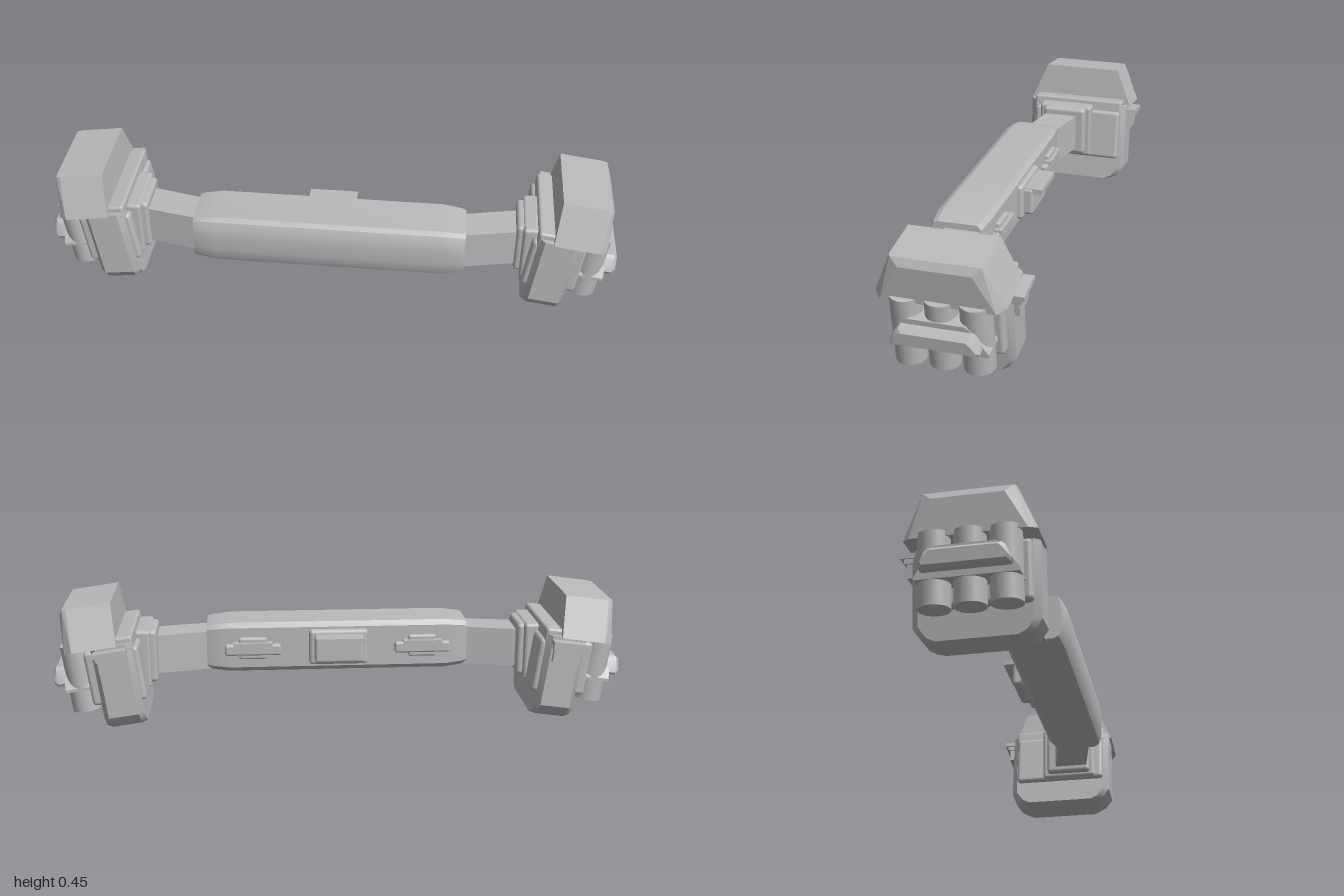
import * as THREE from 'three';
import { toCreasedNormals } from 'three/addons/utils/BufferGeometryUtils.js';
import { RoundedBoxGeometry } from 'three/addons/geometries/RoundedBoxGeometry.js';
import { ConvexGeometry } from 'three/addons/geometries/ConvexGeometry.js';

const grey = new THREE.MeshStandardMaterial({ color: 0xbababa });
grey.name = 'plain grey';

function add(parent, name, geometry, x = 0, y = 0, z = 0) {
  const mesh = new THREE.Mesh(geometry, grey);
  mesh.name = name;
  mesh.position.set(x, y, z);
  parent.add(mesh);
  return mesh;
}

// Box given by its extents, rounded when r > 0; s mirrors it in x.
function block(parent, name, s, [x0, x1], [y0, y1], [z0, z1], r = 0) {
  const size = [x1 - x0, y1 - y0, z1 - z0];
  const geo = r ? new RoundedBoxGeometry(...size, 2, r) : new THREE.BoxGeometry(...size);
  return add(parent, name, geo, s * (x0 + x1) / 2, (y0 + y1) / 2, (z0 + z1) / 2);
}

// Convex solid from corner points, smoothed across shallow edges.
function solid(parent, name, points, crease = 0.3) {
  const geo = new ConvexGeometry(points.map(p => new THREE.Vector3(...p)));
  return add(parent, name, toCreasedNormals(geo, crease));
}

function frontBar(parent) {
  const section = [
    [0.02, 0.162], [0.02, 0.308], [0.035, 0.325], [0.19, 0.325], [0.208, 0.316], [0.217, 0.295],
    [0.222, 0.262], [0.222, 0.208], [0.217, 0.175], [0.208, 0.154], [0.19, 0.145], [0.035, 0.145],
  ];
  const pts = [];
  for (const [x, k] of [[0.47, 0.87], [0.455, 0.92], [0.39, 1]])
    for (const s of [-1, 1])
      for (const [z, y] of section)
        pts.push([s * x, 0.235 + (y - 0.235) * k, 0.125 + (z - 0.125) * k]);
  solid(parent, 'frontBar', pts, 0.35);
}

// Buckles on the back of the bar
function backBuckles(parent) {
  const centre = new THREE.Group();
  centre.name = 'centreBuckle';
  block(centre, 'buckleBase', 1, [-0.108, 0.104], [0.17, 0.3], [0.002, 0.04], 0.014);
  block(centre, 'buckleFace', 1, [-0.09, 0.085], [0.185, 0.285], [-0.03, 0.02], 0.012);
  block(centre, 'buckleLip', 1, [-0.09, 0.08], [0.265, 0.285], [-0.062, 0]);
  parent.add(centre);
  for (const s of [-1, 1]) {
    const side = new THREE.Group();
    side.name = 'sideBuckle';
    block(side, 'sideStrip', s, [0.205, 0.405], [0.21, 0.25], [0, 0.04], 0.008);
    block(side, 'sideTab', s, [0.255, 0.355], [0.195, 0.275], [0.005, 0.04], 0.008);
    block(side, 'sideLip', s, [0.235, 0.375], [0.245, 0.258], [-0.008, 0.03]);
    parent.add(side);
  }
}

function strap(parent, s) {
  const pts = [];
  for (const [x, z0, z1] of [[0.44, 0.045, 0.165], [0.67, -0.005, 0.12]])
    for (const z of [z0, z1])
      for (const y of [0.153, 0.292]) pts.push([s * x, y, z]);
  solid(parent, 'strap', pts);
  block(parent, 'strapBracket', s, [0.643, 0.715], [0.13, 0.32], [-0.035, 0.135], 0.014);
  block(parent, 'bracketPlate', s, [0.665, 0.72], [0.115, 0.325], [-0.055, 0.155], 0.012);
}

// Pouch in its own tilted frame; local x points outward from the belt
function pouch(parent, s) {
  const g = new THREE.Group();
  g.name = s > 0 ? 'leftPouch' : 'rightPouch';
  g.position.set(s * 0.767, 0.158, 0.01);
  g.rotation.z = -s * 0.139;
  parent.add(g);

  // Body with bevelled lower corners and softened upright edges
  const body = [];
  for (const sz of [-1, 1])
    for (const su of [-1, 1])
      for (const [v, d] of [[0.155, 0.197], [-0.1, 0.197], [-0.135, 0.172], [-0.149, 0.145]])
        body.push([s * su * 0.07, v, sz * (d - 0.02)], [s * su * 0.052, v, sz * d]);
  solid(g, 'pouchBody', body, 0.6);

  // Lid tapering upward, bevelled along its outer face
  const lid = [];
  for (const sz of [-1, 1]) {
    lid.push([s * -0.022, 0.152, sz * 0.205], [s * -0.022, 0.293, sz * 0.146]);
    lid.push([s * 0.13, 0.152, sz * 0.205], [s * 0.13, 0.293, sz * 0.146]);
    lid.push([s * 0.16, 0.145, sz * 0.18], [s * 0.16, 0.268, sz * 0.113]);
    lid.push([s * 0.145, 0.293, sz * 0.14]);
  }
  solid(g, 'pouchLid', lid, 0.1);
  block(g, 'lidHinge', s, [-0.075, 0], [0.12, 0.176], [-0.18, 0.18], 0.01);

  // Plates on the inner and outer faces
  block(g, 'innerPlate', s, [-0.088, -0.05], [-0.06, 0.135], [-0.175, 0.175], 0.014);
  block(g, 'outerPlate', s, [0.05, 0.1], [-0.055, 0.14], [-0.178, 0.178], 0.014);

  // Three round canisters
  for (const i of [-1, 0, 1])
    add(g, 'canister', new THREE.CylinderGeometry(0.05, 0.05, 0.236, 24), s * 0.132, 0.042, i * 0.109);

  // Retaining band and the bar across it
  const band = [];
  for (const sz of [-1, 1])
    for (const u of [0.09, 0.185])
      band.push([s * u, 0.002, sz * 0.158], [s * u, 0.012, sz * 0.158],
        [s * u, 0.09, sz * 0.105], [s * u, 0.104, sz * 0.09]);
  solid(g, 'canisterBand', band);
  const bar = [];
  for (const sz of [-1, 1])
    for (const [u, e] of [[0.17, 0], [0.21, 0], [0.222, 0.01]])
      bar.push([s * u, 0.022 + e, sz * (0.135 - e)], [s * u, 0.032 + e, sz * (0.14 - e)],
        [s * u, 0.076 - e, sz * (0.122 - e)], [s * u, 0.086 - e, sz * (0.11 - e)]);
  solid(g, 'canisterBar', bar, 0.5);

  // Stepped clip on the back
  block(g, 'clipBase', s, [-0.045, 0.05], [0.066, 0.14], [-0.215, -0.18]);
  block(g, 'clipStep', s, [-0.05, 0.055], [0.112, 0.14], [-0.224, -0.18]);
  block(g, 'clipLip', s, [-0.055, 0.06], [0.128, 0.144], [-0.234, -0.18]);
}

export function createModel() {
  const model = new THREE.Group();
  model.name = 'utilityBelt';
  frontBar(model);
  backBuckles(model);
  for (const s of [-1, 1]) {
    strap(model, s);
    pouch(model, s);
  }
  return model;
}
